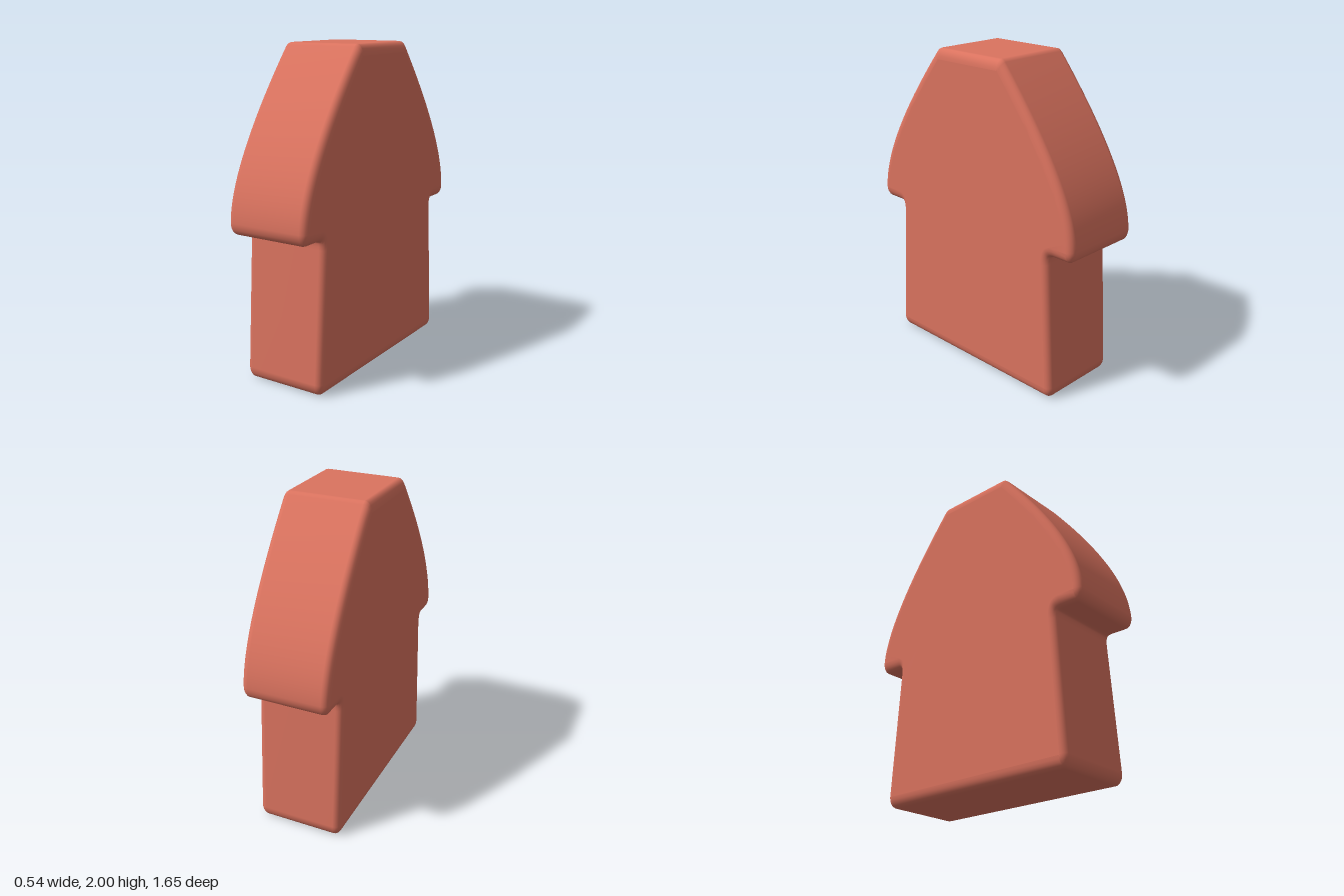
import * as THREE from 'three';
import { mergeVertices } from 'three/addons/utils/BufferGeometryUtils.js';

const BEVEL = 0.043;   // edge rounding before the vertical stretch
const STRETCH = 1.5;   // the whole block is stretched upwards
const WIDTH = 0.545;

// Points of a rounded corner at b, starting and ending a distance d away from it
function corner(a, b, c, d, n = 5) {
  const from = b.clone().add(a.clone().sub(b).setLength(d));
  const to = b.clone().add(c.clone().sub(b).setLength(d));
  return new THREE.QuadraticBezierCurve(from, b, to).getPoints(n);
}

// Half of the profile, from the bottom edge up to the flat top
function halfProfile() {
  const v = (x, y) => new THREE.Vector2(x, y);
  const foot = v(0.647, BEVEL), neck = v(0.588, 0.663), lip = v(0.782, 0.663);
  const shoulder = v(0.77, 0.87), crown = v(0.245, 1.29);
  const curve = new THREE.QuadraticBezierCurve(lip, shoulder, crown).getPoints(24);
  return [
    ...corner(v(0, BEVEL), foot, neck, 0.004),
    ...corner(foot, neck, lip, 0.085, 8),
    ...corner(neck, lip, curve[1], 0.004),
    ...curve.slice(1, -1),
    ...corner(curve[23], crown, v(0, 1.29), 0.004),
  ];
}

export function createModel() {
  const group = new THREE.Group();
  group.name = 'archedBlock';

  // Mirror the half profile and extrude it with rounded edges
  const half = halfProfile();
  const mirrored = half.map((p) => new THREE.Vector2(-p.x, p.y)).reverse();
  const depth = WIDTH - 2 * BEVEL;
  let geometry = new THREE.ExtrudeGeometry(new THREE.Shape([...half, ...mirrored]), {
    depth, bevelEnabled: true, bevelSize: BEVEL, bevelThickness: BEVEL, bevelSegments: 5,
  });
  geometry.translate(0, 0, -depth / 2);
  geometry.rotateY(Math.PI / 2);
  geometry.scale(1, STRETCH, 1);

  // Weld the surface so that the rounded edges shade smoothly
  geometry.deleteAttribute('uv');
  geometry.deleteAttribute('normal');
  geometry = mergeVertices(geometry, 1e-5);
  geometry.computeVertexNormals();

  const body = new THREE.Mesh(geometry, new THREE.MeshStandardMaterial({ color: 0xdb735f }));
  body.name = 'body';
  group.add(body);
  return group;
}
